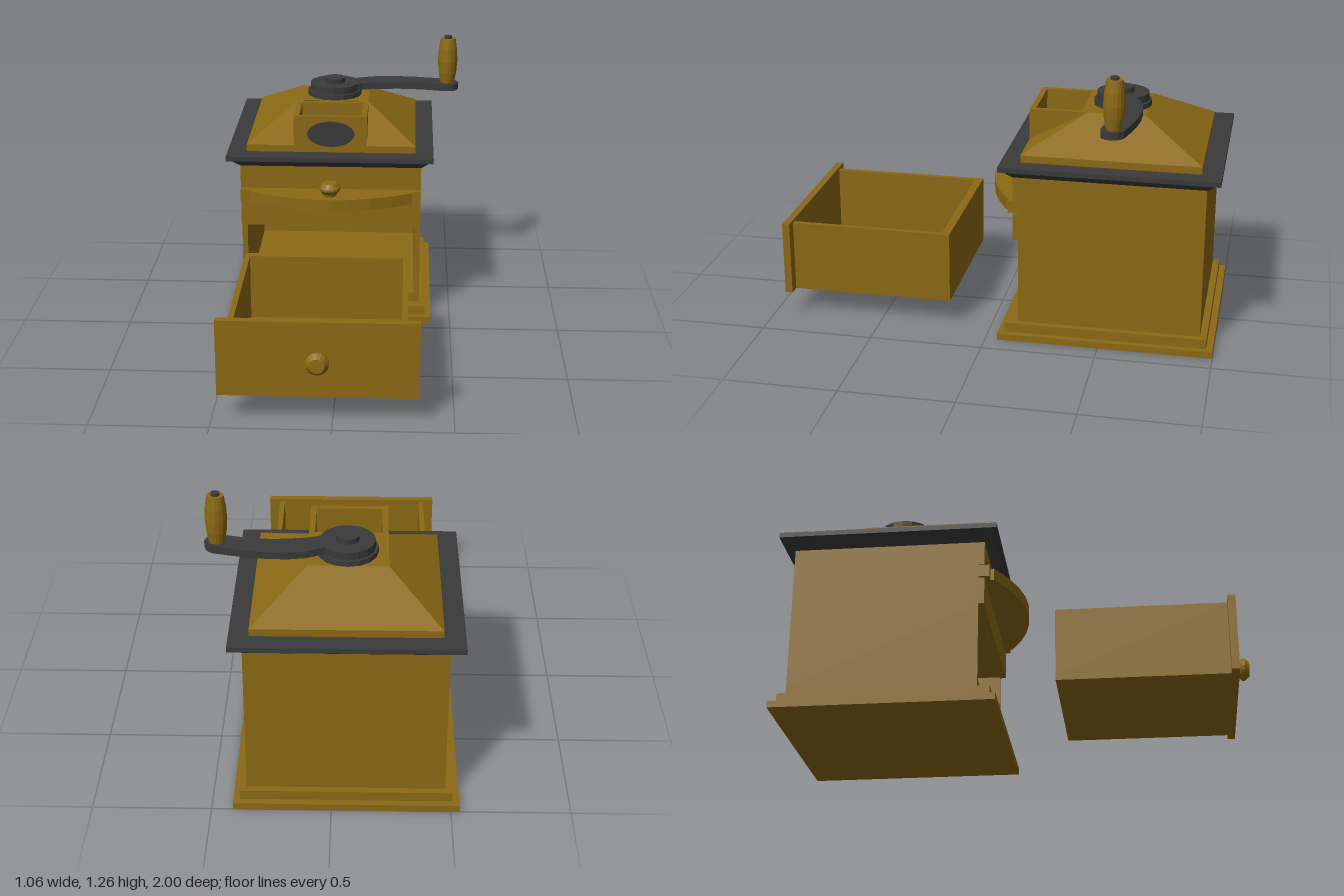
import * as THREE from 'three';

const wood = new THREE.MeshStandardMaterial({ color: 0x8b6914 });
const woodFlat = new THREE.MeshStandardMaterial({ color: 0x8b6914, flatShading: true });
const iron = new THREE.MeshStandardMaterial({ color: 0x3a3a3a });
const ironFlat = new THREE.MeshStandardMaterial({ color: 0x3a3a3a, flatShading: true });

const CX = -0.06, CZ = -0.53; // centre of the mill body

function add(parent, name, geometry, material, x = 0, y = 0, z = 0) {
  const mesh = new THREE.Mesh(geometry, material);
  mesh.name = name;
  mesh.position.set(x, y, z);
  parent.add(mesh);
  return mesh;
}

// box given by its limits on each axis
function box(parent, name, x0, x1, y0, y1, z0, z1, material = wood) {
  return add(parent, name, new THREE.BoxGeometry(x1 - x0, y1 - y0, z1 - z0), material,
    (x0 + x1) / 2, (y0 + y1) / 2, (z0 + z1) / 2);
}

// turned part from [radius, height] pairs
function lathe(parent, name, pairs, sides, material, x, y, z) {
  return add(parent, name, new THREE.LatheGeometry(pairs.map(p => new THREE.Vector2(...p)), sides), material, x, y, z);
}

// flat plate seen from above, given by [x, z] pairs
function plate(parent, name, outline, y, thickness, material) {
  const shape = new THREE.Shape(outline.map(([x, z]) => new THREE.Vector2(x, -z)));
  const geometry = new THREE.ExtrudeGeometry(shape, { depth: thickness, bevelEnabled: false });
  geometry.rotateX(-Math.PI / 2);
  return add(parent, name, geometry, material, 0, y, 0);
}

// flat polygons, corners counter-clockwise seen from outside
function polygons(faces) {
  const pos = [];
  for (const f of faces)
    for (let i = 1; i < f.length - 1; i++) pos.push(...f[0], ...f[i], ...f[i + 1]);
  const geometry = new THREE.BufferGeometry();
  geometry.setAttribute('position', new THREE.Float32BufferAttribute(pos, 3));
  geometry.computeVertexNormals();
  return geometry;
}

// corners of a level rectangle, counter-clockwise from above
const ring = (x0, x1, z0, z1, y) => [[x0, y, z1], [x1, y, z1], [x1, y, z0], [x0, y, z0]];
const band = (a, b) => a.map((p, i) => [p, a[(i + 1) % 4], b[(i + 1) % 4], b[i]]);

const KNOB = [[0, 0], [0.03, 0], [0.034, 0.012], [0.049, 0.03], [0.049, 0.04], [0.032, 0.061], [0, 0.061]];

function makeBody() {
  const g = new THREE.Group();
  g.name = 'body';
  box(g, 'basePlinth', -0.535, 0.41, 0, 0.03, -1, -0.055);
  box(g, 'baseStep', -0.505, 0.383, 0.03, 0.073, -0.97, -0.082);
  box(g, 'cabinetFloor', -0.475, 0.355, 0.073, 0.117, -0.94, -0.137);
  for (const s of [-1, 1]) {
    const inner = CX + s * 0.39, outer = CX + s * 0.415;
    box(g, 'sideWall', Math.min(inner, outer), Math.max(inner, outer), 0.117, 0.455, -0.94, -0.137);
  }
  box(g, 'backWall', -0.45, 0.33, 0.117, 0.455, -0.94, -0.915);
  box(g, 'upperCabinet', -0.475, 0.355, 0.455, 0.75, -0.94, -0.137);
  box(g, 'lowerFrontPanel', -0.475, 0.355, 0.46, 0.58, -0.137, -0.112);
  box(g, 'upperFrontPanel', -0.475, 0.355, 0.642, 0.75, -0.137, -0.112);

  // bow-fronted ledge with its knob
  const outline = [[-0.475, -0.137], [-0.475, -0.09], [-0.435, -0.09], [-0.435, -0.075]];
  const half = 0.375, n = 8;
  for (let i = 1; i < n; i++) {
    const t = -1 + (2 * i) / n;
    outline.push([CX + t * half, 0.037 - 0.112 * t * t]);
  }
  outline.push([0.315, -0.075], [0.315, -0.09], [0.355, -0.09], [0.355, -0.137]);
  plate(g, 'bowedLedge', outline, 0.587, 0.053, wood);
  lathe(g, 'ledgeKnob', KNOB, 16, woodFlat, CX, 0.64, -0.03);
  return g;
}

function makeTop() {
  const g = new THREE.Group();
  g.name = 'top';
  // iron cornice: tapered underside and flat rim
  const low = ring(-0.475, 0.355, -0.945, -0.11, 0.75);
  const high = ring(-0.52, 0.395, -0.985, -0.07, 0.788);
  add(g, 'corniceTaper', polygons([...band(low, high), [...low].reverse()]), ironFlat);
  box(g, 'corniceRim', -0.535, 0.41, 0.788, 0.81, -1, -0.055, iron);

  // hipped lid, left open where the hopper cuts through its front slope
  const foot = ring(-0.447, 0.327, -0.915, -0.14, 0.81);
  const eave = ring(-0.447, 0.327, -0.915, -0.14, 0.842);
  const peak = ring(-0.23, 0.105, -0.65, -0.395, 0.98);
  const slopes = band(eave, peak).slice(1);
  const frontL = [-0.23, 0.842, -0.14], frontR = [0.105, 0.842, -0.14];
  add(g, 'hippedLid', polygons([...band(foot, eave), ...slopes, peak,
    [eave[0], frontL, peak[0]], [frontR, eave[1], peak[1]]]), woodFlat);

  // open filling hopper
  box(g, 'hopperFront', -0.23, 0.105, 0.842, 0.98, -0.165, -0.14);
  box(g, 'hopperBack', -0.23, 0.105, 0.842, 0.979, -0.395, -0.37);
  box(g, 'hopperSide', -0.23, -0.205, 0.842, 0.98, -0.37, -0.165);
  box(g, 'hopperSide', 0.08, 0.105, 0.842, 0.98, -0.37, -0.165);
  box(g, 'hopperFloor', -0.205, 0.08, 0.815, 0.85, -0.37, -0.165);
  const badge = add(g, 'ovalBadge', new THREE.CylinderGeometry(1, 1, 0.004, 40), iron, CX, 0.897, -0.139);
  badge.rotation.x = Math.PI / 2;
  badge.scale.set(0.108, 1, 0.06);
  return g;
}

function makeCrank() {
  const g = new THREE.Group();
  g.name = 'crank';
  const disc = (name, r, y0, y1, sides) =>
    add(g, name, new THREE.CylinderGeometry(r, r, y1 - y0, sides), ironFlat, CX, (y0 + y1) / 2, CZ);
  disc('hubBase', 0.128, 0.98, 1.003, 16);
  disc('hub', 0.116, 1.003, 1.037, 16);
  disc('hubCap', 0.048, 1.037, 1.06, 20);
  // curved arm, running from the hub out to the rounded tip
  const back = [[0, -0.59], [0.035, -0.6], [0.11, -0.633], [0.18, -0.643], [0.25, -0.643], [0.33, -0.636],
    [0.4, -0.622], [0.495, -0.6]];
  const tip = [[0.517, -0.58], [0.528, -0.552], [0.52, -0.525], [0.505, -0.507], [0.475, -0.502]];
  const front = [[0.44, -0.506], [0.38, -0.52], [0.32, -0.53], [0.25, -0.534], [0.19, -0.53], [0.12, -0.521],
    [0.07, -0.51], [0.045, -0.495], [0, -0.49]];
  plate(g, 'crankArm', [...back, ...tip, ...front], 1.004, 0.032, iron);
  // turned grip with its pin
  lathe(g, 'crankGrip', [[0, 0], [0.033, 0], [0.042, 0.05], [0.046, 0.105], [0.043, 0.16], [0.035, 0.212], [0, 0.212]],
    16, woodFlat, 0.475, 1.037, -0.555);
  add(g, 'gripPin', new THREE.CylinderGeometry(0.018, 0.018, 0.014, 16), iron, 0.475, 1.254, -0.555);
  return g;
}

function makeDrawer() {
  const g = new THREE.Group();
  g.name = 'drawer';
  box(g, 'drawerFloor', -0.427, 0.303, 0.117, 0.14, 0.183, 0.905);
  box(g, 'drawerSide', -0.427, -0.403, 0.14, 0.437, 0.183, 0.905);
  box(g, 'drawerSide', 0.279, 0.303, 0.14, 0.437, 0.183, 0.905);
  box(g, 'drawerBack', -0.403, 0.279, 0.14, 0.437, 0.183, 0.22);
  box(g, 'drawerFront', -0.475, 0.355, 0.117, 0.45, 0.905, 0.938);
  lathe(g, 'drawerKnob', KNOB, 16, woodFlat, CX, 0.284, 0.938).rotation.x = Math.PI / 2;
  return g;
}

export function createModel() {
  const model = new THREE.Group();
  model.name = 'coffeeMill';
  model.add(makeBody(), makeTop(), makeCrank(), makeDrawer());
  return model;
}
